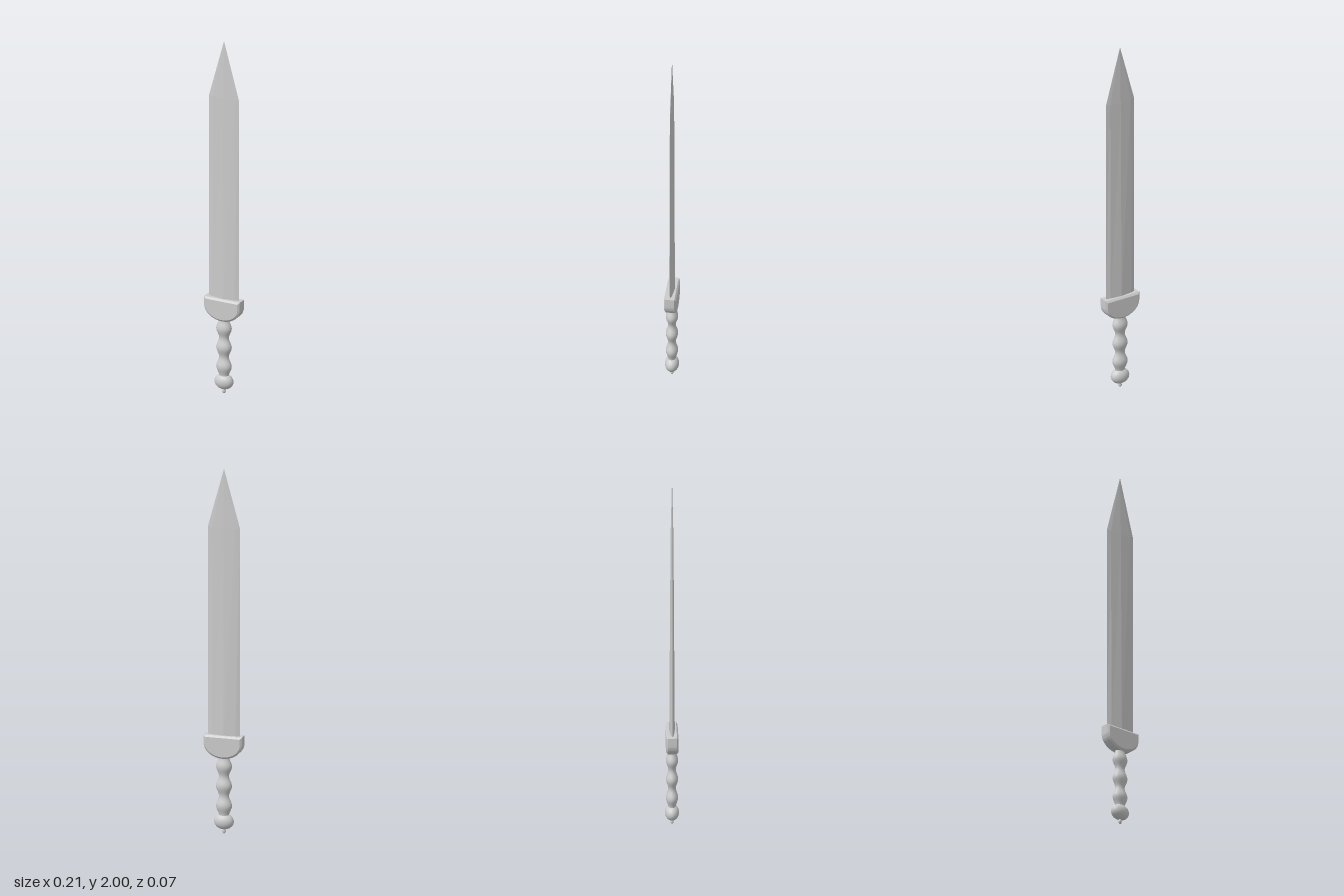
import * as THREE from 'three';
import { toCreasedNormals } from 'three/addons/utils/BufferGeometryUtils.js';

// Facetted blade: one cross-section, scaled in width and thickness up to a point
function bladeGeometry() {
  const section = [[0.089, 0], [0.064, 0.008], [0, 0.015], [-0.064, 0.008],
    [-0.089, 0], [-0.064, -0.008], [0, -0.015], [0.064, -0.008]];
  const rings = [[0.5, 1, 1], [1.675, 1, 0.5], [2, 0, 0]]; // y, width, thickness
  const n = section.length;
  const point = (r, i) => {
    const [y, w, t] = rings[r];
    const [x, z] = section[i % n];
    return [x * w, y, z * t];
  };
  const pos = [];
  for (let r = 0; r < rings.length - 1; r++) {
    for (let i = 0; i < n; i++) {
      const a = point(r, i), b = point(r, i + 1), c = point(r + 1, i + 1), d = point(r + 1, i);
      // section runs from +x to +z, so bottom-next-top order faces inward
      pos.push(...a, ...d, ...b);
      if (r < rings.length - 2) pos.push(...b, ...d, ...c);
    }
  }
  const geo = new THREE.BufferGeometry();
  geo.setAttribute('position', new THREE.Float32BufferAttribute(pos, 3));
  geo.computeVertexNormals();
  return geo;
}

// D-shaped guard with chamfered edges
function guardGeometry() {
  const bevel = 0.01, thick = 0.008, half = 0.032;
  const shape = new THREE.Shape();
  shape.moveTo(0.105 - bevel, 0.54 - bevel);
  shape.lineTo(-0.105 + bevel, 0.54 - bevel);
  shape.lineTo(-0.105 + bevel, 0.495);
  shape.absellipse(0, 0.495, 0.105 - bevel, 0.08 - bevel, Math.PI, Math.PI * 2, false);
  shape.closePath();
  const geo = new THREE.ExtrudeGeometry(shape, {
    depth: 2 * (half - thick), bevelEnabled: true, bevelSize: bevel,
    bevelThickness: thick, bevelSegments: 1, curveSegments: 16,
  });
  geo.translate(0, 0, -(half - thick));
  return toCreasedNormals(geo, 0.5);
}

// Turned part, flattened front to back
function turned(points, flatten) {
  const geo = new THREE.LatheGeometry(points, 32);
  geo.scale(1, 1, flatten);
  geo.computeVertexNormals();
  return geo;
}

export function createModel() {
  const group = new THREE.Group();
  const metal = new THREE.MeshStandardMaterial({ color: 0xcccccc });
  const flat = new THREE.MeshStandardMaterial({ color: 0xcccccc, flatShading: true });
  const add = (name, geo, mat = metal) => {
    const mesh = new THREE.Mesh(geo, mat);
    mesh.name = name;
    group.add(mesh);
    return mesh;
  };

  add('blade', bladeGeometry(), flat);
  add('guard', guardGeometry());

  // Grip with three finger swells
  const grip = [];
  for (let i = 0; i <= 40; i++) {
    const y = 0.09 + (0.43 - 0.09) * i / 40;
    const wave = Math.cos((y - 0.26) / 0.108 * Math.PI * 2);
    grip.push(new THREE.Vector2(0.035 + 0.008 * wave, y));
  }
  add('grip', turned(grip, 0.75));

  // Rounded pommel
  const pommel = new THREE.SphereGeometry(1, 32, 20);
  pommel.scale(0.053, 0.043, 0.037);
  add('pommel', pommel).position.y = 0.066;

  // Small rivet knob at the end of the tang
  const knob = [[0, 0], [0.005, 0.001], [0.009, 0.006], [0.01, 0.012], [0.008, 0.018], [0.007, 0.03]]
    .map(([r, y]) => new THREE.Vector2(r, y));
  add('tangRivet', turned(knob, 0.9));

  return group;
}
